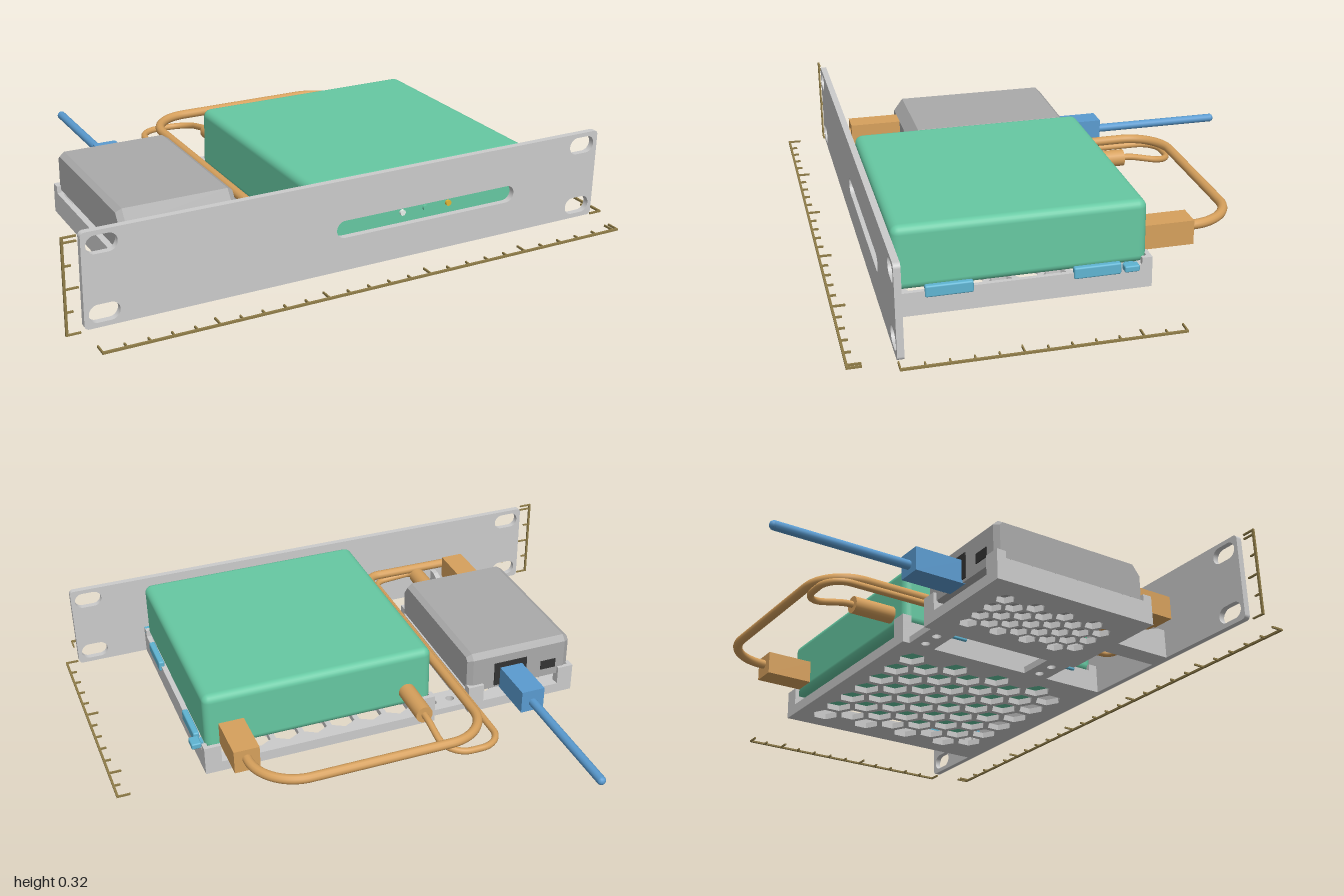
import * as THREE from 'three';
import { RoundedBoxGeometry } from 'three/addons/geometries/RoundedBoxGeometry.js';

const material = (color) => new THREE.MeshStandardMaterial({ color });
const GREY = material(0xcccccc), DEVICE = material(0xaaaaaa), GREEN = material(0x66c8a2), ORANGE = material(0xd6a05c);
const BLUE = material(0x5a9bd0), CLIP = material(0x5fb4d2), RULER = material(0x8f7c48), DARK = material(0x333333);
const WHITE = material(0xe8f0ea), YELLOW = material(0xe0b838);

export function createModel() {
  const root = new THREE.Group();
  root.name = 'rackMount';

  function add(name, geometry, mat, parent = root) {
    const mesh = new THREE.Mesh(geometry, mat);
    mesh.name = name;
    parent.add(mesh);
    return mesh;
  }
  // Box given by its limits on each axis; r rounds the edges
  function box(name, mat, [x0, x1], [y0, y1], [z0, z1], parent = root, r = 0) {
    const s = [x1 - x0, y1 - y0, z1 - z0];
    const g = r ? new RoundedBoxGeometry(...s, 3, r) : new THREE.BoxGeometry(...s);
    g.translate((x0 + x1) / 2, (y0 + y1) / 2, (z0 + z1) / 2);
    return add(name, g, mat, parent);
  }
  // Rounded rectangle outline, for a Shape or a Path
  function roundRect(path, cx, cy, w, h, r) {
    const x = w / 2 - r, y = h / 2 - r;
    path.absarc(cx + x, cy + y, r, 0, Math.PI / 2);
    path.absarc(cx - x, cy + y, r, Math.PI / 2, Math.PI);
    path.absarc(cx - x, cy - y, r, Math.PI, Math.PI * 1.5);
    path.absarc(cx + x, cy - y, r, Math.PI * 1.5, Math.PI * 2);
    path.closePath();
    return path;
  }
  // Lying plate from an x/z shape, resting on height y
  function plate(name, shape, y, t, parent) {
    const g = new THREE.ExtrudeGeometry(shape, { depth: t, bevelEnabled: false });
    g.rotateX(Math.PI / 2).translate(0, y + t, 0);
    return add(name, g, GREY, parent);
  }
  // Cable through corner points, each corner [x, y, z, radius] rounded off
  function cable(name, mat, points, radius) {
    const path = new THREE.CurvePath();
    const p = points.map((q) => new THREE.Vector3(q[0], q[1], q[2]));
    let last = p[0];
    for (let i = 1; i < p.length - 1; i++) {
      const r = points[i][3];
      const toward = (q, d) => p[i].clone().add(q.clone().sub(p[i]).setLength(d));
      const a = toward(p[i - 1], r), b = toward(p[i + 1], r);
      const c1 = toward(p[i - 1], r * 0.45), c2 = toward(p[i + 1], r * 0.45);
      path.add(new THREE.LineCurve3(last, a));
      path.add(new THREE.CubicBezierCurve3(a, c1, c2, b));
      last = b;
    }
    path.add(new THREE.LineCurve3(last, p[p.length - 1]));
    add(name, new THREE.TubeGeometry(path, 220, radius, 12), mat);
  }

  // Front panel with four mounting slots and a light window
  const face = roundRect(new THREE.Shape(), 0.005, 0.162, 1.89, 0.316, 0.015);
  for (const x of [-0.875, 0.885]) for (const y of [0.05, 0.275])
    face.holes.push(roundRect(new THREE.Path(), x, y, 0.1, 0.06, 0.0295));
  face.holes.push(roundRect(new THREE.Path(), 0.26, 0.15, 0.69, 0.06, 0.0295));
  add('frontPanel', new THREE.ExtrudeGeometry(face, { depth: 0.022, bevelEnabled: false, curveSegments: 10 })
    .translate(0, 0, 0.67), GREY);

  // Tray: honeycomb floor, side walls, low end lips and corner posts
  function tray(name, [x0, x1], [z0, z1], pitch, margin) {
    const group = new THREE.Group();
    group.name = name;
    root.add(group);
    const w = x1 - x0, d = z1 - z0, cx = (x0 + x1) / 2, cz = (z0 + z1) / 2;
    const floor = roundRect(new THREE.Shape(), cx, cz, w, d, 0.012);
    const rowStep = pitch * 0.866, hexR = pitch * 0.47;
    const rows = Math.floor((d - 2 * margin - 2 * hexR) / rowStep) + 1;
    const cols = Math.floor((w - 2 * margin) / pitch);
    for (let j = 0; j < rows; j++) {
      const n = cols - (j % 2);
      for (let i = 0; i < n; i++) {
        const hx = cx + (i - (n - 1) / 2) * pitch, hz = cz + (j - (rows - 1) / 2) * rowStep;
        const hex = new THREE.Path();
        for (let k = 0; k < 6; k++) {
          const a = Math.PI / 6 + (k * Math.PI) / 3;
          hex[k ? 'lineTo' : 'moveTo'](hx + hexR * Math.cos(a), hz + hexR * Math.sin(a));
        }
        hex.closePath();
        floor.holes.push(hex);
      }
    }
    plate('honeycombFloor', floor, 0.004, 0.022, group);
    const t = 0.016;
    for (const [a, b] of [[x0, x0 + t], [x1 - t, x1]]) {
      box('sideWall', GREY, [a, b], [0.004, 0.085], [z0, z1], group);
      for (const [c, e] of [[z0, z0 + 0.035], [z1 - 0.035, z1]])
        box('cornerPost', GREY, [a, b], [0.085, 0.11], [c, e], group);
    }
    for (const [c, e] of [[z0, z0 + t], [z1 - t, z1]]) {
      box('endLip', GREY, [x0, x1], [0.004, 0.042], [c, e], group);
      for (const [a, b] of [[x0, x0 + 0.06], [x1 - 0.06, x1]])
        box('cornerTab', GREY, [a, b], [0.004, 0.11], [c, e], group);
    }
    // Ledges that carry the device
    for (const [a, b] of [[x0, x0 + 0.05], [x1 - 0.05, x1]])
      for (const [c, e] of [[z0, z0 + 0.05], [z1 - 0.05, z1]])
        box('deviceRest', GREY, [a, b], [0.02, 0.083], [c, e], group);
  }
  tray('largeTray', [-0.175, 0.685], [-0.187, 0.67], 0.106, 0.035);
  tray('smallTray', [-0.735, -0.31], [-0.187, 0.45], 0.07, 0.045);

  // Drilled arms joining the trays
  for (const z of [-0.11, 0.38]) {
    const arm = roundRect(new THREE.Shape(), -0.24, z, 0.16, 0.1, 0.005);
    for (const x of [-0.27, -0.2]) arm.holes.push(new THREE.Path().absarc(x, z, 0.016, 0, Math.PI * 2));
    plate('trayArm', arm, 0.004, 0.024, root);
  }
  // Strut from the small tray to the panel, with a tapered rib
  box('panelStrut', GREY, [-0.555, -0.48], [0.004, 0.026], [0.44, 0.675]);
  const rib = new THREE.Shape([[0.44, 0.02], [0.672, 0.02], [0.672, 0.11], [0.64, 0.11], [0.44, 0.045]]
    .map(([z, y]) => new THREE.Vector2(-z, y)));
  add('strutRib', new THREE.ExtrudeGeometry(rib, { depth: 0.02, bevelEnabled: false })
    .rotateY(Math.PI / 2).translate(-0.555, 0, 0), GREY);

  // Large device and its indicator lights
  box('largeDevice', GREEN, [-0.165, 0.673], [0.085, 0.305], [-0.172, 0.657], root, 0.028);
  [[0.18, WHITE], [0.27, GREEN], [0.36, YELLOW]].forEach(([x, mat]) =>
    add('indicatorLight', new THREE.CylinderGeometry(0.01, 0.01, 0.012, 16)
      .rotateX(Math.PI / 2).translate(x, 0.15, 0.66), mat));

  // Small device with a sloped front edge
  const side = new THREE.Shape([[-0.162, 0.095], [0.418, 0.095], [0.418, 0.185], [0.39, 0.222], [-0.15, 0.222], [-0.162, 0.21]]
    .map(([z, y]) => new THREE.Vector2(-z, y)));
  add('smallDevice', new THREE.ExtrudeGeometry(side, {
    depth: 0.37, bevelThickness: 0.02, bevelSize: 0.013, bevelSegments: 1,
  }).rotateY(Math.PI / 2).translate(-0.7, 0, 0), DEVICE);
  box('networkPort', DARK, [-0.545, -0.415], [0.092, 0.185], [-0.179, -0.17]);
  box('smallPort', DARK, [-0.665, -0.605], [0.115, 0.15], [-0.179, -0.17]);

  // Retaining clips around the large device
  for (const [a, b] of [[-0.183, -0.163], [0.672, 0.694]])
    for (const [c, e] of [[-0.08, 0.078], [0.405, 0.56]]) {
      box('sideClip', CLIP, [a, b], [0.065, 0.105], [c, e], root, 0.006);
    }
  for (const [a, b] of [[-0.165, -0.07], [0.595, 0.685]])
    box('frontClip', CLIP, [a, b], [0.085, 0.11], [0.655, 0.669]);
  box('releaseTab', CLIP, [0.68, 0.715], [0.078, 0.1], [-0.135, -0.085], root, 0.005);
  box('releaseTabStem', CLIP, [0.67, 0.7], [0.082, 0.096], [-0.125, -0.095]);

  // Plugs and cables
  box('networkPlug', BLUE, [-0.525, -0.437], [0.08, 0.165], [-0.355, -0.165]);
  cable('networkCable', BLUE, [[-0.482, 0.115, -0.34], [-0.482, 0.115, -0.845]], 0.016);
  add('networkCableEnd', new THREE.SphereGeometry(0.016, 12, 8).translate(-0.482, 0.115, -0.84), BLUE);

  box('thickPlugBack', ORANGE, [0.535, 0.625], [0.108, 0.193], [-0.35, -0.165]);
  box('thickPlugFront', ORANGE, [-0.648, -0.563], [0.105, 0.19], [0.42, 0.62]);
  cable('thickCable', ORANGE, [
    [0.58, 0.157, -0.33], [0.58, 0.157, -0.522, 0.165], [-0.237, 0.157, -0.522, 0.15],
    [-0.237, 0.15, 0.647, 0.05], [-0.605, 0.148, 0.647, 0.026], [-0.605, 0.148, 0.6],
  ], 0.017);

  for (const [name, x, y, z0, z1] of [['thinPlugBack', -0.07, 0.15, -0.33, -0.165], ['thinPlugFront', -0.442, 0.14, 0.42, 0.6]])
    add(name, new THREE.CylinderGeometry(0.031, 0.031, z1 - z0, 20)
      .rotateX(Math.PI / 2).translate(x, y, (z0 + z1) / 2), ORANGE);
  cable('thinCable', ORANGE, [
    [-0.07, 0.15, -0.32], [-0.07, 0.15, -0.36, 0.02], [-0.07, 0.112, -0.53, 0.09], [-0.277, 0.112, -0.53, 0.08],
    [-0.277, 0.112, 0.655, 0.04], [-0.442, 0.125, 0.655, 0.035], [-0.442, 0.14, 0.59],
  ], 0.012);

  // Measuring rulers: a bar with long and short ticks
  function ruler(name, length, place, every) {
    const group = new THREE.Group();
    group.name = name;
    root.add(group);
    box('bar', RULER, [0, length], [0, 0.007], [0, 0.008], group);
    for (let i = 0; i * 0.0747 <= length; i++) {
      const x = i * 0.0747, size = i % every ? 0.02 : 0.04;
      box('tick', RULER, [x, x + 0.005], [0, 0.007], [-size, 0], group);
    }
    box('endTick', RULER, [length - 0.005, length], [0, 0.007], [-0.04, 0], group);
    place(group);
  }
  ruler('widthRuler', 1.89, (g) => g.position.set(-0.94, 0, 0.835), 5);
  ruler('depthRuler', 0.89, (g) => { g.rotation.y = Math.PI / 2; g.position.set(0.992, 0, 0.692); }, 5);
  ruler('heightRuler', 0.32, (g) => {
    g.rotation.set(0, -Math.PI / 2, Math.PI / 2, 'YXZ');
    g.matrixAutoUpdate = true;
    // Bar runs up, ticks point to the panel
    const basis = new THREE.Matrix4().makeBasis(
      new THREE.Vector3(0, 1, 0), new THREE.Vector3(0, 0, 1), new THREE.Vector3(1, 0, 0));
    g.quaternion.setFromRotationMatrix(basis);
    g.position.set(-0.992, 0, 0.69);
    g.children.forEach((m) => m.geometry.scale(1, 1, -1).index.array.reverse());
  }, 2);
  return root;
}
